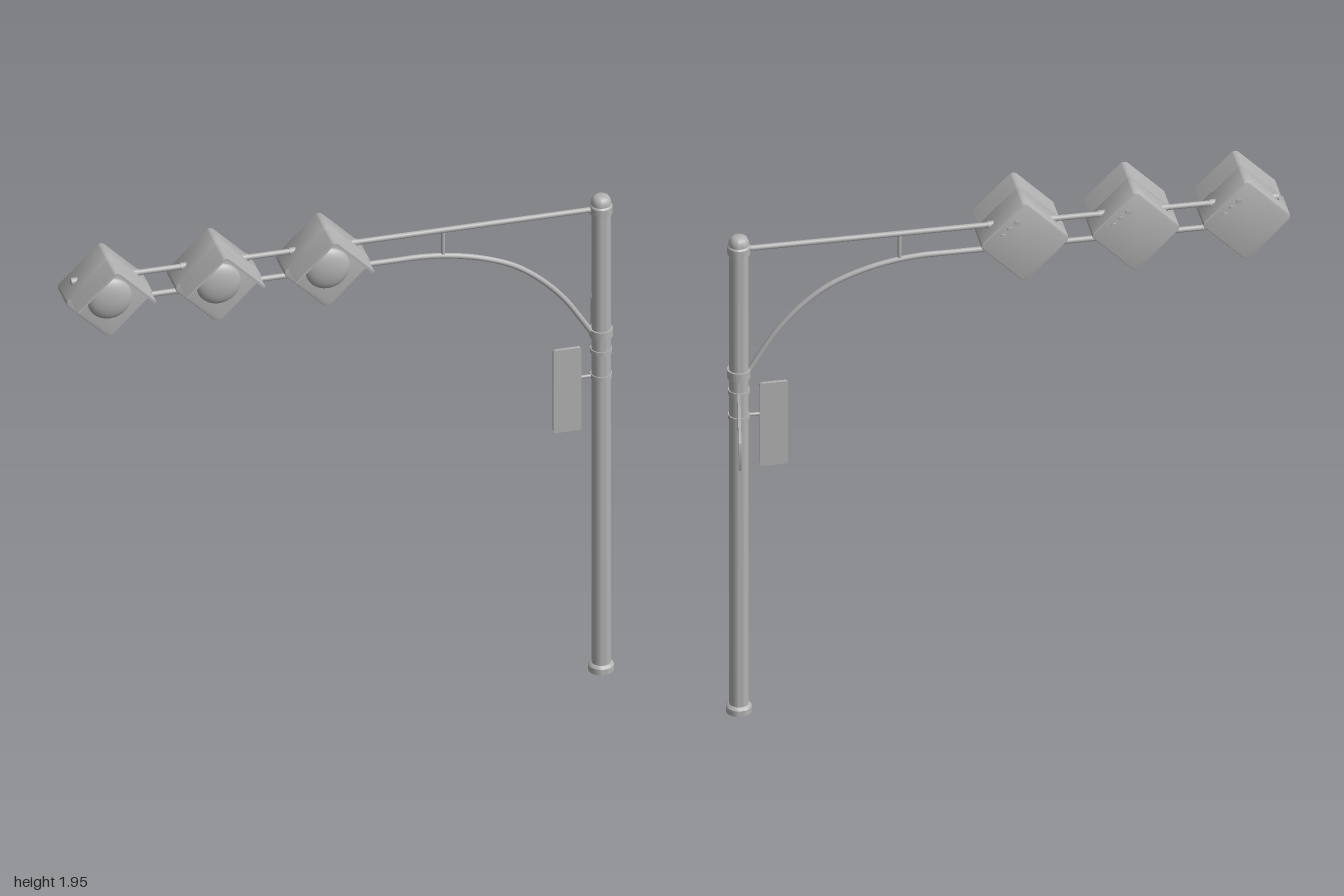
import * as THREE from 'three';
import { toCreasedNormals } from 'three/addons/utils/BufferGeometryUtils.js';

const grey = new THREE.MeshStandardMaterial({ color: 0xb2b2b2 });
grey.name = 'galvanised grey';

const POLE_X = 0.93, Z = 0.1, TOP_Y = 1.85, LOW_Y = 1.755;

function add(parent, name, geometry, x = 0, y = 0, z = 0) {
  const mesh = new THREE.Mesh(geometry, grey);
  mesh.name = name;
  mesh.position.set(x, y, z);
  parent.add(mesh);
  return mesh;
}

function roundedRect(w, h, r) {
  const s = new THREE.Shape(), a = w / 2 - r, b = h / 2 - r;
  s.absarc(a, b, r, 0, Math.PI / 2);
  s.absarc(-a, b, r, Math.PI / 2, Math.PI);
  s.absarc(-a, -b, r, Math.PI, Math.PI * 1.5);
  s.absarc(a, -b, r, Math.PI * 1.5, Math.PI * 2);
  s.closePath();
  return s;
}

// Extruded slab from z = 0 to z = depth, with a small bevel inside the outline
function slab(shape, depth, bevel) {
  const geo = new THREE.ExtrudeGeometry(shape, {
    depth: depth - 2 * bevel, curveSegments: 6, bevelEnabled: bevel > 0,
    bevelThickness: bevel, bevelSize: bevel, bevelOffset: -bevel, bevelSegments: 2,
  });
  geo.translate(0, 0, bevel);
  return toCreasedNormals(geo, 0.6);
}

function bar(parent, name, x0, x1, y, z, r) {
  const mesh = add(parent, name, new THREE.CylinderGeometry(r, r, x1 - x0, 16), (x0 + x1) / 2, y, z);
  mesh.rotation.z = Math.PI / 2;
  return mesh;
}

// Signal head: diamond housing, lens, two-sided hood and fixings
function signalHead(x) {
  const head = new THREE.Group();
  head.name = 'signalHead';
  head.position.set(x, 1.8, 0);

  const h = 0.114, r = 0.02, t = 0.008, end = -0.086;
  const diamond = new THREE.Group();
  diamond.name = 'diamondHousing';
  diamond.rotation.z = Math.PI / 4;
  head.add(diamond);
  add(diamond, 'housing', slab(roundedRect(2 * h, 2 * h, r), 0.122, 0.004), 0, 0, 0.04);

  const hood = new THREE.Shape();
  hood.moveTo(h, end);
  hood.lineTo(h, h - r);
  hood.absarc(h - r, h - r, r, 0, Math.PI / 2);
  hood.lineTo(end, h);
  hood.lineTo(end, h - t);
  hood.lineTo(h - r, h - t);
  hood.absarc(h - r, h - r, r - t, Math.PI / 2, 0, true);
  hood.lineTo(h - t, end);
  hood.closePath();
  add(diamond, 'hood', slab(hood, 0.11, 0), 0, 0, 0.15);

  const lens = add(head, 'lens', new THREE.SphereGeometry(0.08, 32, 10, 0, Math.PI * 2, 0, Math.PI / 2), 0, 0, 0.16);
  lens.rotation.x = Math.PI / 2;
  lens.scale.y = 0.38;

  // Three vent knobs on the back, parallel to the upper edge
  for (const k of [-1, 0, 1]) {
    const knob = add(head, 'backKnob', new THREE.CylinderGeometry(0.01, 0.01, 0.01, 14), 0.053 + k * 0.024, 0.058 - k * 0.024, 0.039);
    knob.rotation.x = Math.PI / 2;
  }
  // Mounting sleeves, corner clamps and front screws on both sides
  for (const s of [-1, 1]) {
    add(head, 'cornerClamp', new THREE.BoxGeometry(0.03, 0.05, 0.026), s * 0.121, 0, Z);
    const screw = add(head, 'screw', new THREE.CylinderGeometry(0.005, 0.005, 0.004, 10), s * 0.13, 0.012, 0.163);
    screw.rotation.x = Math.PI / 2;
    for (const y of [TOP_Y - 1.8, LOW_Y - 1.8]) {
      const a = s * 0.09, b = s * 0.122;
      bar(head, 'sleeve', Math.min(a, b), Math.max(a, b), y, Z, 0.013);
    }
  }
  return head;
}

export function createModel() {
  const model = new THREE.Group();
  model.name = 'trafficSignalPole';

  // Pole with base, collars and cap turned in one profile
  const profile = [
    [0, 0], [0.045, 0], [0.045, 0.022], [0.039, 0.03], [0.034, 0.032],
    [0.034, 1.83], [0.04, 1.834], [0.04, 1.862], [0.035, 1.868],
    [0.035, 1.882], [0.028, 1.896], [0.018, 1.902], [0, 1.902],
  ].map(([x, y]) => new THREE.Vector2(x, y));
  add(model, 'pole', toCreasedNormals(new THREE.LatheGeometry(profile, 32), 0.6), POLE_X, 0, Z);

  for (const [y, height, r] of [[1.355, 0.032, 0.041], [1.283, 0.016, 0.038], [1.183, 0.016, 0.038]]) {
    add(model, 'collar', new THREE.CylinderGeometry(r, r, height, 32), POLE_X, y, Z);
  }

  // Upper bar, curved lower brace and strut
  bar(model, 'upperBar', -0.87, POLE_X, TOP_Y, Z, 0.01);
  bar(model, 'lowerBar', -0.87, 0.28, LOW_Y, Z, 0.01);
  const bend = new THREE.CatmullRomCurve3([
    [0.2, LOW_Y], [0.28, LOW_Y], [0.38, 1.745], [0.5, 1.717], [0.62, 1.667],
    [0.72, 1.592], [0.8, 1.505], [0.86, 1.415], [0.91, 1.335],
  ].map(([x, y]) => new THREE.Vector3(x, y, Z)));
  add(model, 'curvedBrace', new THREE.TubeGeometry(bend, 48, 0.01, 14));
  add(model, 'strut', new THREE.CylinderGeometry(0.007, 0.007, TOP_Y - 1.747, 12), 0.365, (TOP_Y + 1.747) / 2, Z);

  for (const x of [-0.845, -0.455, -0.065]) model.add(signalHead(x));

  // Upright sign facing forward
  add(model, 'uprightSign', slab(roundedRect(0.1, 0.33, 0.01), 0.012, 0), 0.808, 1.14, Z - 0.006);
  bar(model, 'signBracket', 0.85, 0.91, 1.183, Z, 0.006);

  // Street sign angled backwards from the pole
  const street = new THREE.Group();
  street.name = 'streetSign';
  street.position.set(0.935, 0, 0.07);
  street.rotation.y = Math.atan2(0.33, 0.06);
  add(street, 'streetPlate', slab(roundedRect(0.335, 0.116, 0.006), 0.01, 0), 0.1675, 1.233, -0.005);
  model.add(street);

  return model;
}
